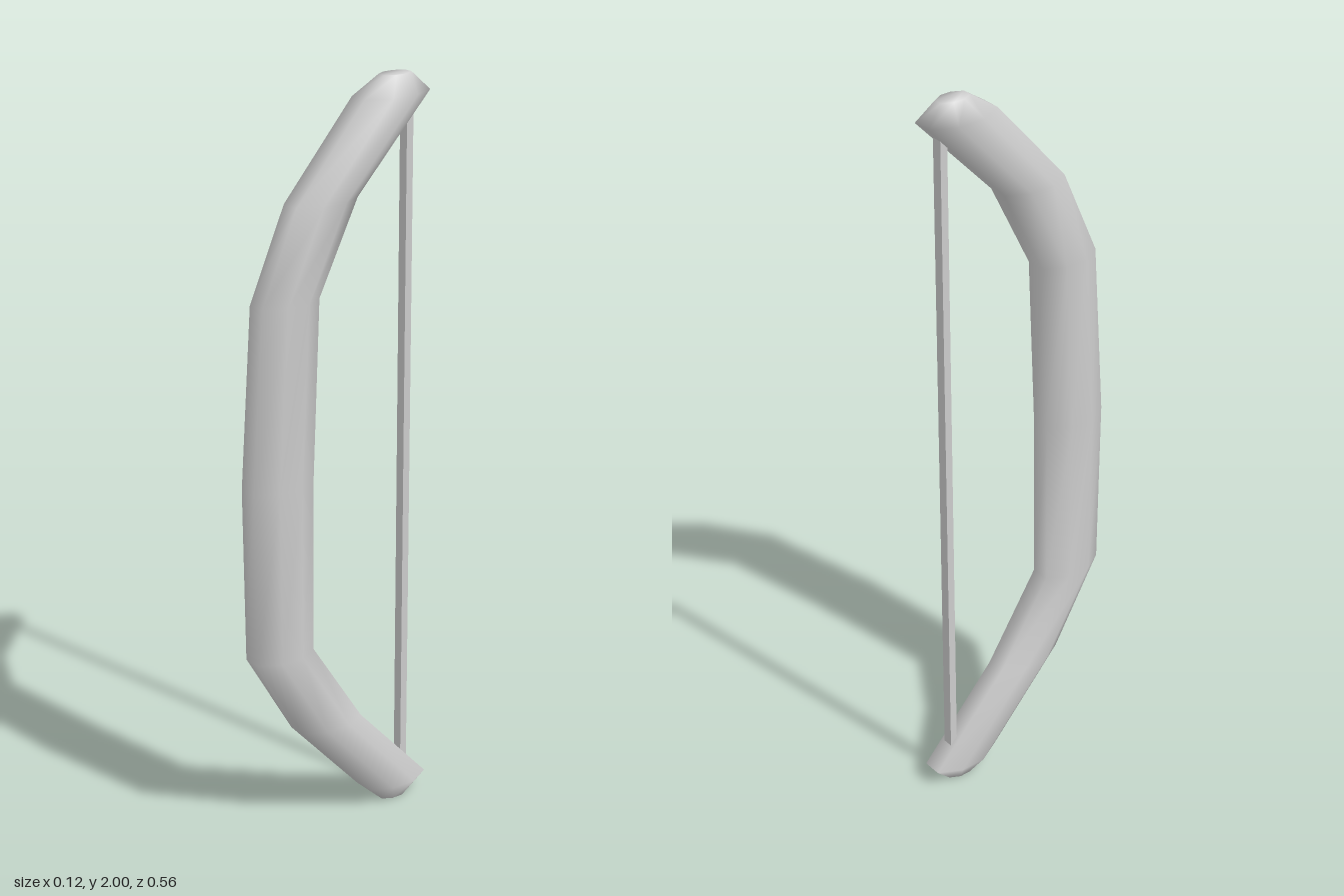
import * as THREE from 'three';

const material = () => new THREE.MeshStandardMaterial({ color: 0xcccccc });

// Closed loft through horizontal eight-sided rings: [y, back z, front z, width scale]
function loft(rings) {
  const pos = [], index = [], n = 8;
  const section = [
    [0.026, 1], [0.058, 0.37], [0.058, -0.37], [0.026, -1],
    [-0.026, -1], [-0.058, -0.37], [-0.058, 0.37], [-0.026, 1],
  ];
  for (const [y, back, front, s] of rings) {
    const mid = (back + front) / 2, half = (front - back) / 2;
    for (const [x, z] of section) pos.push(x * s, y, mid + z * half);
  }
  for (let r = 0; r < rings.length - 1; r++) {
    for (let i = 0; i < n; i++) {
      const a = r * n + i, b = r * n + (i + 1) % n;
      index.push(a, b, b + n, a, b + n, a + n);
    }
  }
  // Flat caps at both tips
  const top = (rings.length - 1) * n;
  for (let i = 1; i < n - 1; i++) {
    index.push(0, i + 1, i);
    index.push(top, top + i, top + i + 1);
  }
  const g = new THREE.BufferGeometry();
  g.setAttribute('position', new THREE.Float32BufferAttribute(pos, 3));
  g.setIndex(index);
  g.computeVertexNormals();
  return g;
}

export function createModel() {
  const group = new THREE.Group();
  group.name = 'bow';

  // Curved limbs and grip in one piece, from the lower to the upper tip
  const stave = new THREE.Mesh(loft([
    [0, -0.225, -0.14, 0.45],
    [0.052, -0.275, -0.083, 1],
    [0.29, -0.055, 0.135, 1],
    [0.53, 0.1, 0.275, 1],
    [1.0, 0.097, 0.281, 1],
    [1.477, 0.077, 0.249, 1],
    [1.715, -0.04, 0.145, 1],
    [1.952, -0.262, -0.06, 1],
    [2, -0.214, -0.13, 0.45],
  ]), material());
  stave.name = 'stave';
  group.add(stave);

  // Straight string between the tips, its ends sunk into the stave
  const string = new THREE.Mesh(new THREE.BoxGeometry(0.028, 1.84, 0.02), material());
  string.name = 'string';
  string.position.set(0, 1.0, -0.21);
  group.add(string);

  return group;
}
